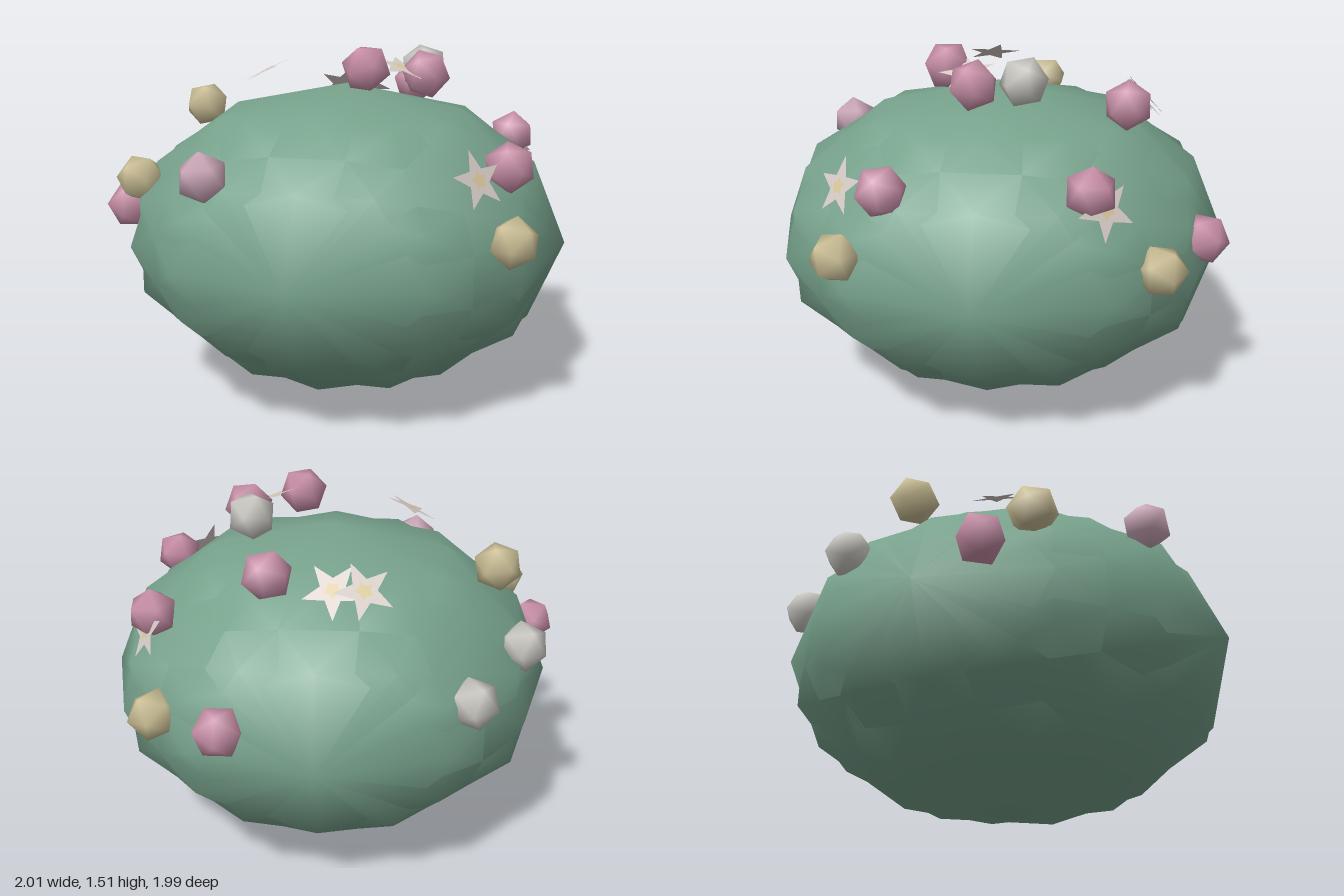
import * as THREE from 'three';
import { mergeVertices } from 'three/addons/utils/BufferGeometryUtils.js';

const material = (name, color, side = THREE.FrontSide) => {
  const m = new THREE.MeshStandardMaterial({ color, side });
  m.name = name;
  return m;
};

// Six-sided looking berry: an icosahedron with smooth normals
function berryGeometry(radius) {
  const g = new THREE.IcosahedronGeometry(radius, 0);
  g.deleteAttribute('normal');
  g.deleteAttribute('uv');
  const merged = mergeVertices(g);
  merged.computeVertexNormals();
  return merged;
}

// Flat star facing +z
function starGeometry(outer, inner) {
  const shape = new THREE.Shape();
  for (let i = 0; i < 10; i++) {
    const r = i % 2 ? inner : outer;
    const a = Math.PI / 2 + (i * Math.PI) / 5;
    shape[i ? 'lineTo' : 'moveTo'](r * Math.cos(a), r * Math.sin(a));
  }
  return new THREE.ShapeGeometry(shape);
}

export function createModel() {
  const model = new THREE.Group();
  const leaf = material('leaf green', 0x78a38d);
  const pink = material('pink', 0xc98fa8);
  const palePink = material('pale pink', 0xcda8b9);
  const tan = material('tan', 0xcbbf96);
  const white = material('soft white', 0xcbc9c3);
  const petal = material('petal', 0xd6cbc6, THREE.DoubleSide);
  const pollen = material('pollen', 0xd8c79a, THREE.DoubleSide);
  const centre = new THREE.Vector3(0.02, 0.675, 0);

  // Bush: two faceted spheres a quarter turn apart, squashed together
  const bush = new THREE.Group();
  bush.name = 'bush';
  [0, Math.PI / 2].forEach((turn, i) => {
    const g = new THREE.IcosahedronGeometry(1, 1);
    g.rotateY(turn);
    g.scale(0.975, 0.67, 0.995);
    const lobe = new THREE.Mesh(g, leaf);
    lobe.name = `bushLobe${i + 1}`;
    lobe.position.copy(centre);
    bush.add(lobe);
  });
  model.add(bush);

  // Berries
  const berries = new THREE.Group();
  berries.name = 'berries';
  const berryShape = berryGeometry(0.106);
  const spots = [
    [pink, 0.39, 0.79, -0.88], [pink, 0.23, 1.3, -0.55], [pink, 0.72, 1.08, -0.42],
    [pink, 0.38, 1.4, 0.07], [pink, 0.15, 1.43, 0.21], [pink, 0.77, 1.07, 0.37],
    [pink, -0.92, 0.8, 0.27], [palePink, -0.37, 1.05, 0.77],
    [tan, -0.7, 1.21, -0.14], [tan, -0.79, 0.96, 0.43],
    [tan, 0.81, 0.81, 0.55], [tan, 0.68, 0.76, -0.7],
    [white, -0.58, 0.85, -0.71], [white, -0.8, 0.95, -0.38], [white, 0.34, 1.41, -0.13],
  ];
  spots.forEach(([mat, x, y, z], i) => {
    const berry = new THREE.Mesh(berryShape, mat);
    berry.name = 'berry';
    berry.position.set(x, y, z);
    berry.rotation.set(0.4 + i * 0.7, i * 1.3, i * 0.5);
    berries.add(berry);
  });
  model.add(berries);

  // Star flowers, facing away from the bush centre
  const flowers = new THREE.Group();
  flowers.name = 'flowers';
  const starShape = starGeometry(0.125, 0.052);
  const heartShape = starGeometry(0.04, 0.022);
  [
    [-0.33, 1.4, 0.08, 0.2], [0.28, 1.43, 0.11, 0.5], [-0.15, 1.27, -0.62, 0.3],
    [-0.03, 1.27, -0.62, 0.6], [0.67, 1.05, 0.56, 0.1], [0.74, 1.02, -0.48, 0.4],
  ].forEach(([x, y, z, spin]) => {
    const flower = new THREE.Group();
    flower.name = 'flower';
    flower.position.set(x, y, z);
    flower.lookAt(flower.position.clone().multiplyScalar(2).sub(centre));
    flower.rotateZ(spin);
    const petals = new THREE.Mesh(starShape, petal);
    petals.name = 'petals';
    const heart = new THREE.Mesh(heartShape, pollen);
    heart.name = 'flowerHeart';
    heart.position.z = 0.004;
    flower.add(petals, heart);
    flowers.add(flower);
  });
  model.add(flowers);

  return model;
}
